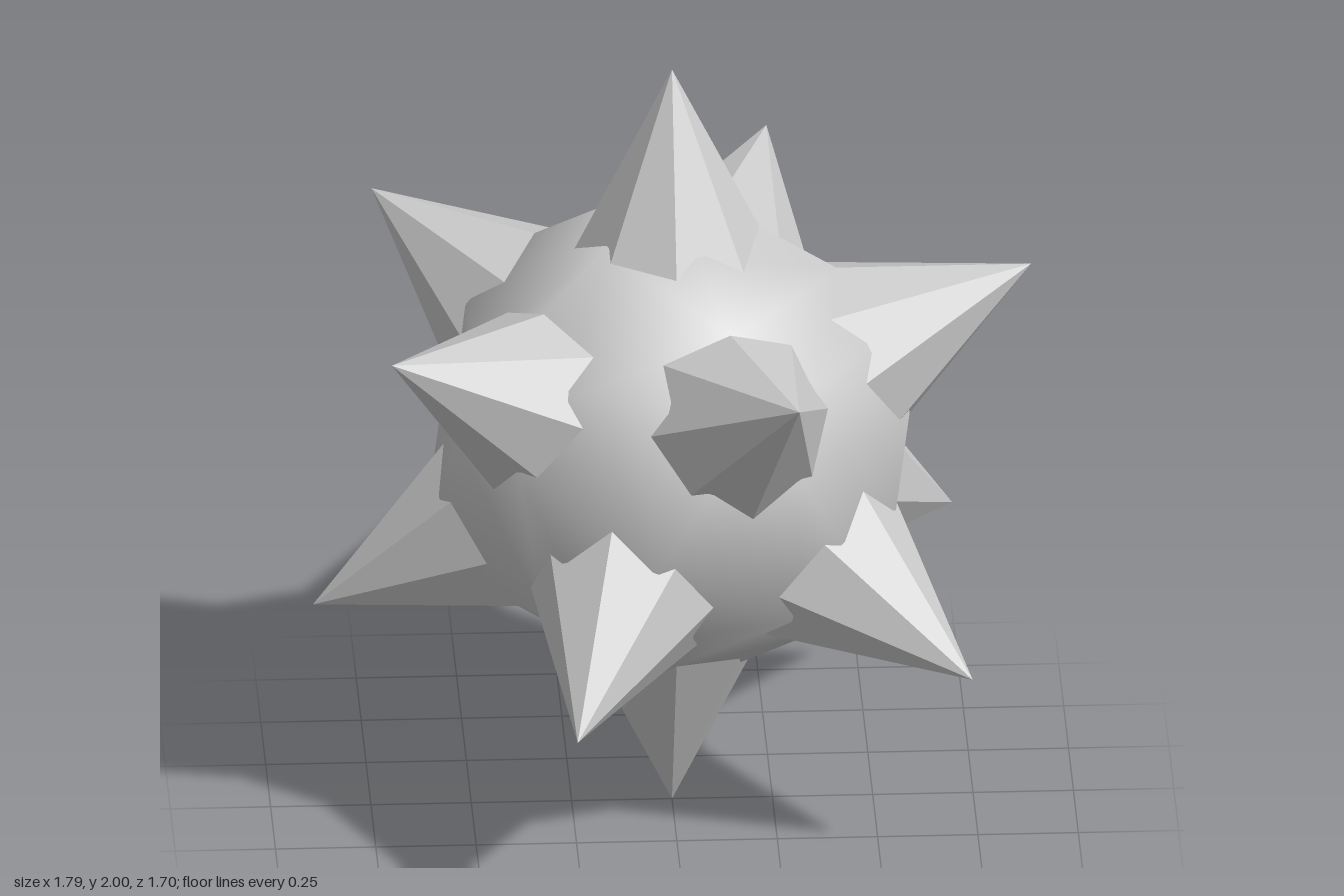
import * as THREE from 'three';
import { ConvexGeometry } from 'three/addons/geometries/ConvexGeometry.js';

const CENTER_Y = 1;
const CORE_SIZE = 0.7; // radius of the icosahedron before its corners are cut off
const SPIKE_HEIGHT = 0.6;
const SPIKE_RADIUS = 0.3;

// The twelve spike axes as polar angle and azimuth: two poles and two staggered rings
function spikeAngles() {
  const ring = Math.atan(2);
  const list = [[0, 0], [Math.PI, 0]];
  for (let i = 0; i < 5; i++) {
    const azimuth = (i * Math.PI * 2) / 5;
    list.push([ring, azimuth], [Math.PI - ring, azimuth + Math.PI]);
  }
  return list;
}

function orientation([polar, azimuth]) {
  return new THREE.Quaternion().setFromEuler(new THREE.Euler(0, azimuth, -polar, 'YXZ'));
}

// Icosahedron with every edge cut at its thirds, shaded as a ball
function coreGeometry(axes) {
  const points = [];
  for (const a of axes) {
    for (const b of axes) {
      if (a !== b && a.dot(b) > 0.4) {
        points.push(a.clone().lerp(b, 1 / 3).multiplyScalar(CORE_SIZE));
      }
    }
  }
  const geometry = new ConvexGeometry(points);
  const position = geometry.attributes.position;
  const normal = geometry.attributes.normal;
  const v = new THREE.Vector3();
  for (let i = 0; i < position.count; i++) {
    v.fromBufferAttribute(position, i).normalize();
    normal.setXYZ(i, v.x, v.y, v.z);
  }
  return geometry;
}

export function createModel() {
  const model = new THREE.Group();
  model.name = 'spikedBall';
  const smooth = new THREE.MeshStandardMaterial({ color: 0xcccccc });
  const faceted = new THREE.MeshStandardMaterial({ color: 0xcccccc, flatShading: true });

  const turns = spikeAngles().map(orientation);
  const axes = turns.map((q) => new THREE.Vector3(0, 1, 0).applyQuaternion(q));

  // Round core
  const core = new THREE.Mesh(coreGeometry(axes), smooth);
  core.name = 'core';
  core.position.y = CENTER_Y;
  model.add(core);

  // Eight-sided spikes, tips one unit from the centre, bases sunk in the core
  const spikeGeometry = new THREE.ConeGeometry(SPIKE_RADIUS, SPIKE_HEIGHT, 8);
  spikeGeometry.translate(0, 1 - SPIKE_HEIGHT / 2, 0);
  const spikes = new THREE.Group();
  spikes.name = 'spikes';
  spikes.position.y = CENTER_Y;
  turns.forEach((turn, i) => {
    const spike = new THREE.Mesh(spikeGeometry, faceted);
    spike.name = `spike${i + 1}`;
    spike.quaternion.copy(turn);
    spikes.add(spike);
  });
  model.add(spikes);

  return model;
}
